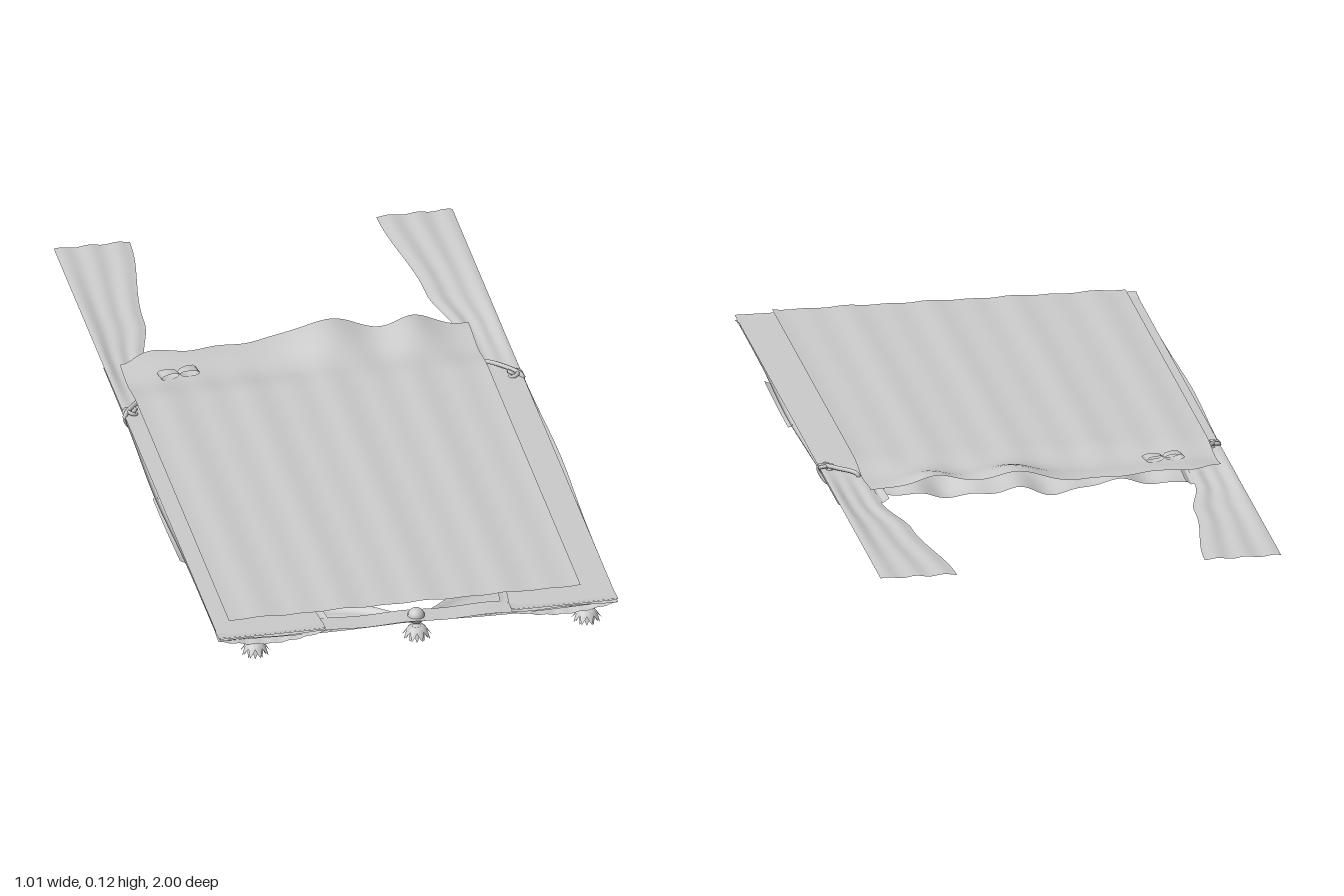
import * as THREE from 'three';

const mat = new THREE.MeshStandardMaterial({ color: 0xcccccc, side: THREE.DoubleSide });
const { lerp, smoothstep } = THREE.MathUtils;

// Cloth surface from a rule f(u, v) -> [x, y, z]
function cloth(name, nu, nv, f) {
  const pos = [], idx = [];
  for (let j = 0; j <= nv; j++) {
    for (let i = 0; i <= nu; i++) {
      pos.push(...f(i / nu, j / nv));
      if (i < nu && j < nv) {
        const a = j * (nu + 1) + i, b = a + nu + 1;
        idx.push(a, b, a + 1, b, b + 1, a + 1);
      }
    }
  }
  const g = new THREE.BufferGeometry();
  g.setAttribute('position', new THREE.Float32BufferAttribute(pos, 3));
  g.setIndex(idx);
  g.computeVertexNormals();
  const m = new THREE.Mesh(g, mat);
  m.name = name;
  return m;
}

// Smooth value along a list of [key, value] stops with falling keys
function along(stops, k) {
  for (let i = 1; i < stops.length; i++) {
    const [k0, v0] = stops[i - 1], [k1, v1] = stops[i];
    if (k >= k1) {
      const t = THREE.MathUtils.clamp((k0 - k) / (k0 - k1), 0, 1);
      return lerp(v0, v1, t * t * (3 - 2 * t));
    }
  }
  return stops[stops.length - 1][1];
}

// Wavy rear hem: height and depth depend on x
const hump = (x, c, w) => Math.exp(-(((x - c) / w) ** 2));
const hemY = x => 0.081 + 0.034 * hump(x, 0.06, 0.09) + 0.029 * hump(x, 0.26, 0.07)
  + 0.006 * hump(x, -0.36, 0.1);
const hemZ = x => -0.405 - 0.03 * hump(x, 0.06, 0.09) - 0.012 * hump(x, 0.32, 0.07)
  - 0.02 * hump(x, -0.1, 0.06) + 0.03 * hump(x, -0.46, 0.05) + 0.008 * Math.sin(x * 38);

// Main panel, nearly flat with faint pleats, ending in a ruffled hem
function panel() {
  return cloth('mainPanel', 96, 60, (u, v) => {
    const x = lerp(-0.46, 0.41, u);
    const z = lerp(0.94, hemZ(x), v);
    const k = smoothstep(-z, 0.17, 0.4);
    const pleat = 0.0012 * Math.sin(x * 62) + 0.001 * Math.sin(x * 31 + 1);
    return [x, lerp(0.086 + pleat, hemY(x), k) - 0.012 * Math.sin(Math.PI * k), z];
  });
}

// Underside of the ruffle, rolled forward beneath the hem
function ruffleLining() {
  return cloth('ruffleLining', 80, 16, (u, v) => {
    const x = lerp(-0.4, 0.39, u);
    const z = lerp(hemZ(x) + 0.05, -0.17, v);
    const low = 0.044 + 0.01 * Math.sin(x * 24) + 0.005 * Math.sin(x * 51);
    return [x, lerp(low, 0.08, smoothstep(v, 0.1, 1)), z];
  });
}

// Inner edge of the tied side curtains
const inner = z => along([[0.985, 0.23], [0.45, 0.31], [-0.2, 0.39], [-0.42, 0.385],
  [-0.62, 0.348], [-1, 0.305]], z);

function sideCurtain(s) {
  const g = new THREE.Group();
  g.name = s > 0 ? 'leftCurtain' : 'rightCurtain';
  // Flat layer running the full length, flaring toward the back
  g.add(cloth('curtainSheet', 32, 80, (u, v) => {
    const z = lerp(0.985, -1, v);
    const x = lerp(0.493, inner(z), u);
    const tail = smoothstep(-z, 0.1, 0.4);
    const y = 0.061 - 0.008 * tail * smoothstep(u, 0, 0.5) * (1 - smoothstep(-z, 0.5, 1))
      + 0.002 * tail * Math.sin(u * 17);
    return [s * x, y, z];
  }));
  // Hanging folds below, gathered at the tie
  g.add(cloth('curtainFolds', 56, 60, (u, v) => {
    const z = lerp(0.94, -0.41, v);
    const x = lerp(0.494 + 0.009 * hump(z, 0.25, 0.25), inner(z) - 0.02, u);
    const full = Math.sin(Math.PI * Math.pow(u, 0.7));
    const fold = 0.007 * Math.sin(u * 26 + 2.4 * v) + 0.004 * Math.sin(u * 47 - 3 * v);
    const depth = along([[0.94, 0.024], [0.5, 0.036], [0, 0.038], [-0.18, 0.026], [-0.41, 0.03]], z);
    return [s * x, 0.058 - full * (depth + fold), z];
  }));
  // Loose outer fold along the edge
  g.add(cloth('outerFold', 6, 24, (u, v) => {
    const z = lerp(0.55, 0.22, v);
    return [s * (0.5 - 0.05 * u), 0.042 - 0.008 * Math.sin(u * 3 + v * 2), z];
  }));
  // Tie-back: a crumpled band with a knot and two loose ends
  const tie = new THREE.Group();
  tie.name = 'tieBack';
  const path = new THREE.CatmullRomCurve3([[0.41, 0.062, -0.235], [0.45, 0.069, -0.2],
    [0.492, 0.06, -0.15], [0.475, 0.025, -0.16], [0.42, 0.028, -0.22]]
    .map(p => new THREE.Vector3(...p)), true);
  const band = new THREE.Mesh(new THREE.TubeGeometry(path, 40, 0.006, 6, true), mat);
  band.name = 'tieBand';
  tie.add(band);
  const knot = new THREE.Mesh(new THREE.TorusKnotGeometry(0.011, 0.005, 40, 6), mat);
  knot.name = 'tieKnot';
  knot.position.set(0.475, 0.062, -0.165);
  knot.rotation.x = Math.PI / 2;
  tie.add(knot);
  tie.scale.x = s;
  g.add(tie);
  return g;
}

// Swag: pleated half-moon between a corner and the centre
function swag(s) {
  return cloth(s > 0 ? 'leftSwag' : 'rightSwag', 40, 24, (u, v) => {
    const arc = Math.sin(Math.PI * u);
    const x = lerp(0.01, 0.47, u);
    const z = 0.975 - v * (0.025 + 0.15 * arc);
    const y = 0.055 - 0.03 * Math.sin(Math.PI * Math.min(1, v * 0.75 + 0.1)) * (0.35 + 0.65 * arc)
      + 0.003 * Math.sin(v * 22) * arc;
    return [s * x, y, z];
  });
}

// Short layered flap in front of each curtain
function flap(s) {
  return cloth(s > 0 ? 'leftFlap' : 'rightFlap', 30, 8, (u, v) => {
    const x = lerp(0.494, 0.23, u);
    const bend = Math.sin(Math.PI * u);
    return [s * x, 0.064 - v * (0.012 + 0.018 * bend) + 0.0015 * Math.sin(u * 40) * v,
      0.984 - 0.045 * Math.sin(v * Math.PI) - 0.004 * v];
  });
}

// Flower ornament: bud with two rings of pointed petals
function flower(name, x) {
  const g = new THREE.Group();
  g.name = name;
  const bud = new THREE.Mesh(new THREE.SphereGeometry(0.016, 12, 8), mat);
  bud.name = 'bud';
  bud.position.y = 0.022;
  g.add(bud);
  for (let ring = 0; ring < 2; ring++) {
    for (let i = 0; i < 9; i++) {
      const a = ((i + ring / 2) / 9) * Math.PI * 2;
      const petal = cloth('petal', 4, 5, (u, v) => {
        const w = (u - 0.5) * 0.02 * Math.sin(Math.PI * (0.25 + 0.75 * v));
        const r = 0.007 + (ring ? 0.02 : 0.03) * v;
        const y = 0.032 - (ring ? 0.029 : 0.022) * v * v + 0.004 * Math.sin(v * 5);
        return [r * Math.cos(a) - w * Math.sin(a), y - Math.abs(w) * 0.3,
          r * Math.sin(a) + w * Math.cos(a)];
      });
      g.add(petal);
    }
  }
  g.position.set(x, 0, 0.963);
  return g;
}

export function createModel() {
  const model = new THREE.Group();
  model.name = 'drapedCurtain';
  model.add(panel(), ruffleLining());
  for (const s of [1, -1]) model.add(sideCurtain(s), swag(s), flap(s));

  // Front valance band joining both curtains
  model.add(cloth('valance', 40, 4, (u, v) =>
    [lerp(-0.49, 0.49, u), 0.056 + 0.002 * Math.sin(u * 30), lerp(0.985, 0.925, v)]));

  // Ornaments at both corners and the centre, the centre topped with a ball
  model.add(flower('rightFlower', -0.4), flower('centreFlower', 0), flower('leftFlower', 0.42));
  const ball = new THREE.Mesh(new THREE.SphereGeometry(0.021, 16, 12), mat);
  ball.name = 'centreBall';
  ball.position.set(0, 0.056, 0.955);
  model.add(ball);

  // Small bow resting on the ruffle
  const bow = new THREE.Group();
  bow.name = 'ruffleBow';
  for (const s of [1, -1]) {
    bow.add(cloth('bowLoop', 8, 6, (u, v) => {
      const a = u * Math.PI * 2;
      return [s * 0.025 * (1 - Math.cos(a)), 0.008 * Math.sin(a), (v - 0.5) * (0.014 + 0.02 * Math.sin(a / 2))];
    }));
  }
  bow.position.set(-0.33, 0.084, -0.295);
  bow.rotation.y = 0.15;
  model.add(bow);
  return model;
}
